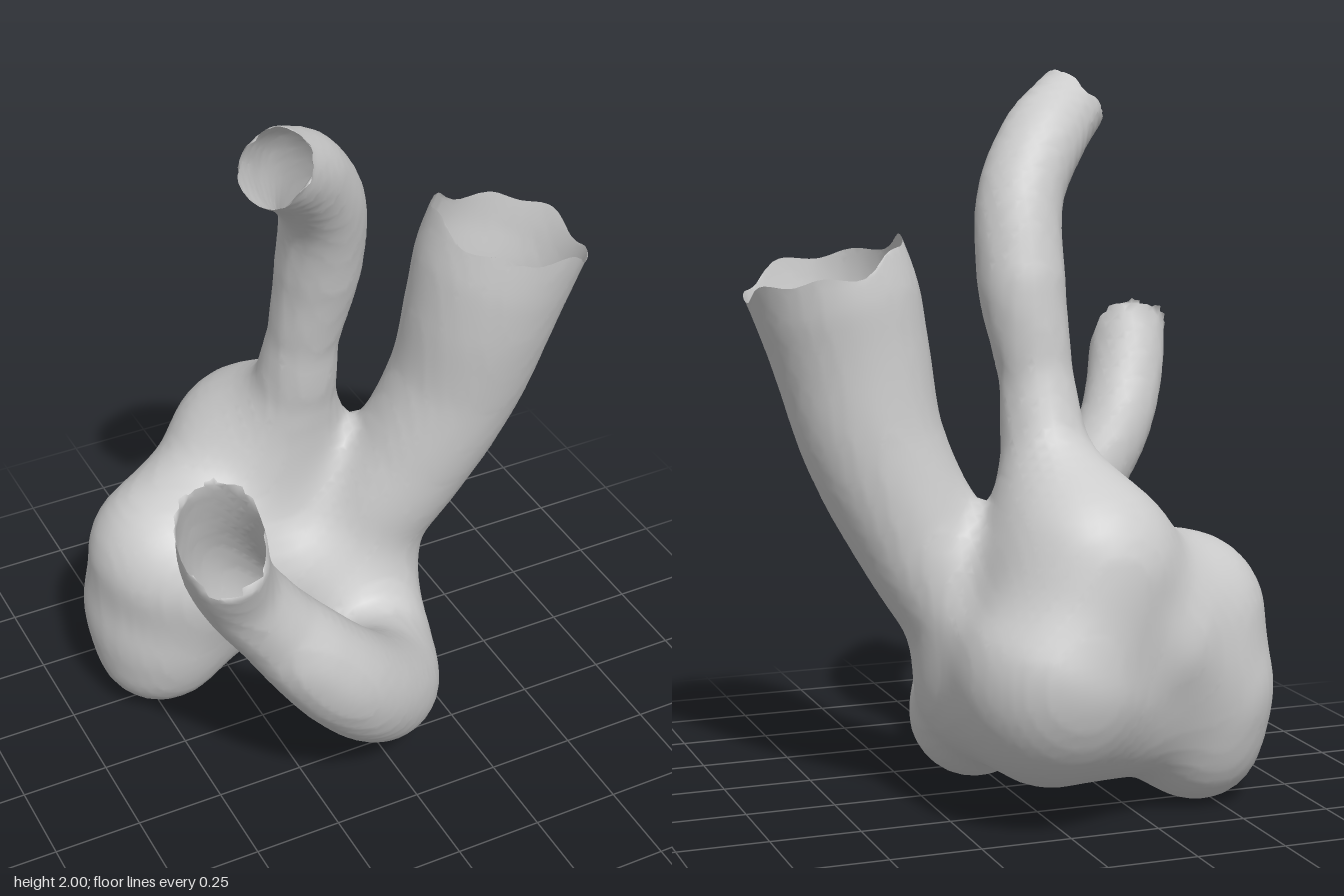
import * as THREE from 'three';

// Each tube: centre line points [x, y, z, radius], from the root past the open end, and its cut plane
const TUBES = [
  { // wide left tube
    line: [[0.1, 0.45, -0.17, 0.18], [0.17, 0.58, -0.13, 0.178], [0.29, 0.78, -0.08, 0.178], [0.4, 1.03, -0.04, 0.192],
      [0.45, 1.26, -0.01, 0.212], [0.485, 1.4, 0, 0.225], [0.53, 1.52, 0.01, 0.226], [0.59, 1.67, 0.01, 0.22]],
    end: [0.53, 1.49, 0], normal: [0.3, 0.95, 0], reach: 0.42, wave: 0.018,
  },
  { // tall middle tube, bending forward
    line: [[-0.06, 0.75, -0.34, 0.2], [-0.03, 1.0, -0.22, 0.12], [-0.02, 1.2, -0.17, 0.1], [0.005, 1.45, -0.125, 0.12],
      [-0.015, 1.67, -0.06, 0.118], [-0.11, 1.825, 0.02, 0.118], [-0.23, 1.925, 0.12, 0.105], [-0.34, 2.02, 0.21, 0.1]],
    end: [-0.23, 1.93, 0.12], normal: [-0.72, 0.6, 0.35], reach: 0.35, wave: 0.012,
  },
  { // front tube, curling up to the right
    line: [[0.1, 0.34, -0.12, 0.19], [0.08, 0.225, 0.06, 0.18], [0.02, 0.25, 0.24, 0.168], [-0.09, 0.37, 0.37, 0.155],
      [-0.22, 0.53, 0.45, 0.143], [-0.32, 0.66, 0.47, 0.13], [-0.41, 0.78, 0.465, 0.115], [-0.52, 0.95, 0.48, 0.11],
      [-0.59, 1.14, 0.55, 0.115], [-0.62, 1.38, 0.63, 0.11]],
    end: [-0.58, 1.13, 0.61], normal: [-0.08, 0.45, 0.85], reach: 0.45, wave: 0.01,
  },
];

// Rounded masses of the body: pairs of spheres [x, y, z, radius] bridged together
const BODY = [
  [[0.02, 0.46, -0.4, 0.26], [-0.1, 0.71, -0.39, 0.215]], // back bulge and crown
  [[-0.425, 0.53, -0.24, 0.217], [-0.455, 0.2, -0.27, 0.185]], // right lobe
  [[-0.28, 0.5, -0.37, 0.2], [-0.46, 0.35, -0.31, 0.18]], // back of the lobe
  [[-0.12, 0.67, -0.37, 0.2], [-0.41, 0.54, -0.25, 0.2]], // upper bridge
  [[0, 0.36, -0.35, 0.24], [-0.42, 0.29, -0.25, 0.19]], // lower bridge
  [[-0.1, 0.45, -0.22, 0.2], [-0.35, 0.48, -0.21, 0.2]], // front wall
];

const smoothMin = (a, b, k) => {
  const h = Math.max(k - Math.abs(a - b), 0) / k;
  return Math.min(a, b) - h * h * k / 4;
};

const ball = (s, x, y, z) => Math.hypot(x - s[0], y - s[1], z - s[2]) - s[3];

// Distance to two spheres joined by a tapered bridge
function bridge([a, b], x, y, z) {
  const d = [b[0] - a[0], b[1] - a[1], b[2] - a[2]];
  const along = (x - a[0]) * d[0] + (y - a[1]) * d[1] + (z - a[2]) * d[2];
  const t = THREE.MathUtils.clamp(along / (d[0] ** 2 + d[1] ** 2 + d[2] ** 2), 0, 1);
  return ball(a.map((v, i) => v + (b[i] - v) * t), x, y, z);
}

// Spheres along a smooth centre line
function sampleTube(line) {
  const curve = new THREE.CatmullRomCurve3(line.map((p) => new THREE.Vector3(p[0], p[1], p[2])));
  const n = (line.length - 1) * 8;
  return Array.from({ length: n + 1 }, (_, i) => {
    const t = i / n, s = t * (line.length - 1), k = Math.min(Math.floor(s), line.length - 2);
    const p = curve.getPoint(t);
    return [p.x, p.y, p.z, THREE.MathUtils.lerp(line[k][3], line[k + 1][3], s - k)];
  });
}

function makeField() {
  const chains = TUBES.map((t) => sampleTube(t.line));
  return (x, y, z) => {
    let d = 9;
    for (const pair of BODY) d = smoothMin(d, bridge(pair, x, y, z), 0.09);
    for (const chain of chains) {
      let c = 9;
      for (const s of chain) c = Math.min(c, ball(s, x, y, z));
      d = smoothMin(d, c, 0.13);
    }
    return d;
  };
}

// Grid skin: one vertex per cell the surface crosses, one quad per crossed grid edge
function skin(field, min, max, step) {
  const n = min.map((m, i) => Math.ceil((max[i] - m) / step) + 1);
  const stride = [1, n[0], n[0] * n[1]];
  const values = new Float32Array(n[0] * n[1] * n[2]);
  const eachNode = (fn) => {
    for (let k = 0; k < n[2]; k++) for (let j = 0; j < n[1]; j++) for (let i = 0; i < n[0]; i++) {
      fn([i, j, k], i + j * stride[1] + k * stride[2]);
    }
  };
  eachNode((c, id) => { values[id] = field(...c.map((v, a) => min[a] + v * step)); });

  const points = [], quads = [], cell = new Int32Array(values.length).fill(-1);
  eachNode((c, id) => {
    if (c.some((v, a) => v >= n[a] - 1)) return;
    const sum = [0, 0, 0];
    let hits = 0;
    for (let q = 0; q < 8; q++) for (let a = 0; a < 3; a++) {
      if (q >> a & 1) continue;
      const o = [q & 1, q >> 1 & 1, q >> 2 & 1];
      const from = id + o[0] + o[1] * stride[1] + o[2] * stride[2];
      const v0 = values[from], v1 = values[from + stride[a]];
      if ((v0 < 0) === (v1 < 0)) continue;
      o[a] = v0 / (v0 - v1);
      o.forEach((v, i) => { sum[i] += v; });
      hits++;
    }
    if (!hits) return;
    cell[id] = points.length;
    points.push(new THREE.Vector3(...sum.map((s, a) => min[a] + (c[a] + s / hits) * step)));
  });
  eachNode((c, id) => {
    for (let a = 0; a < 3; a++) {
      const b = (a + 1) % 3, e = (a + 2) % 3;
      if (c[a] >= n[a] - 1 || !c[b] || !c[e]) continue;
      const inside = values[id] < 0;
      if (inside === (values[id + stride[a]] < 0)) continue;
      const quad = [id - stride[b] - stride[e], id - stride[e], id, id - stride[b]].map((i) => cell[i]);
      quads.push(inside ? quad : quad.reverse());
    }
  });
  return { points, quads };
}

// Open the tube ends: drop what lies past each wavy cut and pull the rim onto it
function openEnds(points, quads) {
  const past = new Uint8Array(points.length), moved = points.map((p) => p.clone());
  for (const { end, normal, reach, wave } of TUBES) {
    const centre = new THREE.Vector3(...end), axis = new THREE.Vector3(...normal).normalize();
    const u = new THREE.Vector3(1, 0, 0).cross(axis).normalize(), v = axis.clone().cross(u);
    points.forEach((p, i) => {
      const rel = p.clone().sub(centre);
      if (rel.length() > reach) return;
      const angle = Math.atan2(rel.dot(v), rel.dot(u));
      const over = rel.dot(axis) - wave * (Math.sin(angle * 3 + 1) + 0.6 * Math.sin(angle * 7));
      if (over <= 0) return;
      past[i] = 1;
      moved[i].addScaledVector(axis, -over);
    });
  }
  return { points: moved, quads: quads.filter((q) => q.some((i) => !past[i])) };
}

export function createModel() {
  const raw = skin(makeField(), [-1, -0.15, -0.85], [0.95, 2.3, 0.9], 0.027);
  const { points, quads } = openEnds(raw.points, raw.quads);

  // Keep only the vertices still in use
  const remap = new Map(), positions = [], index = [];
  const use = (i) => {
    if (!remap.has(i)) {
      remap.set(i, remap.size);
      positions.push(points[i].x, points[i].y, points[i].z);
    }
    return remap.get(i);
  };
  for (const q of quads) {
    const [a, b, c, d] = q.map(use);
    index.push(a, b, c, a, c, d);
  }
  const geometry = new THREE.BufferGeometry();
  geometry.setAttribute('position', new THREE.Float32BufferAttribute(positions, 3));
  geometry.setIndex(index);

  // Stand on the ground, centred
  geometry.computeBoundingBox();
  const { min, max } = geometry.boundingBox;
  geometry.translate(-(min.x + max.x) / 2, -min.y, -(min.z + max.z) / 2);
  geometry.computeVertexNormals();

  const mesh = new THREE.Mesh(geometry, new THREE.MeshStandardMaterial({ color: 0xcccccc, side: THREE.DoubleSide }));
  mesh.name = 'chamberWithOpenTubes';
  const group = new THREE.Group();
  group.name = 'branchingVessel';
  group.add(mesh);
  return group;
}
